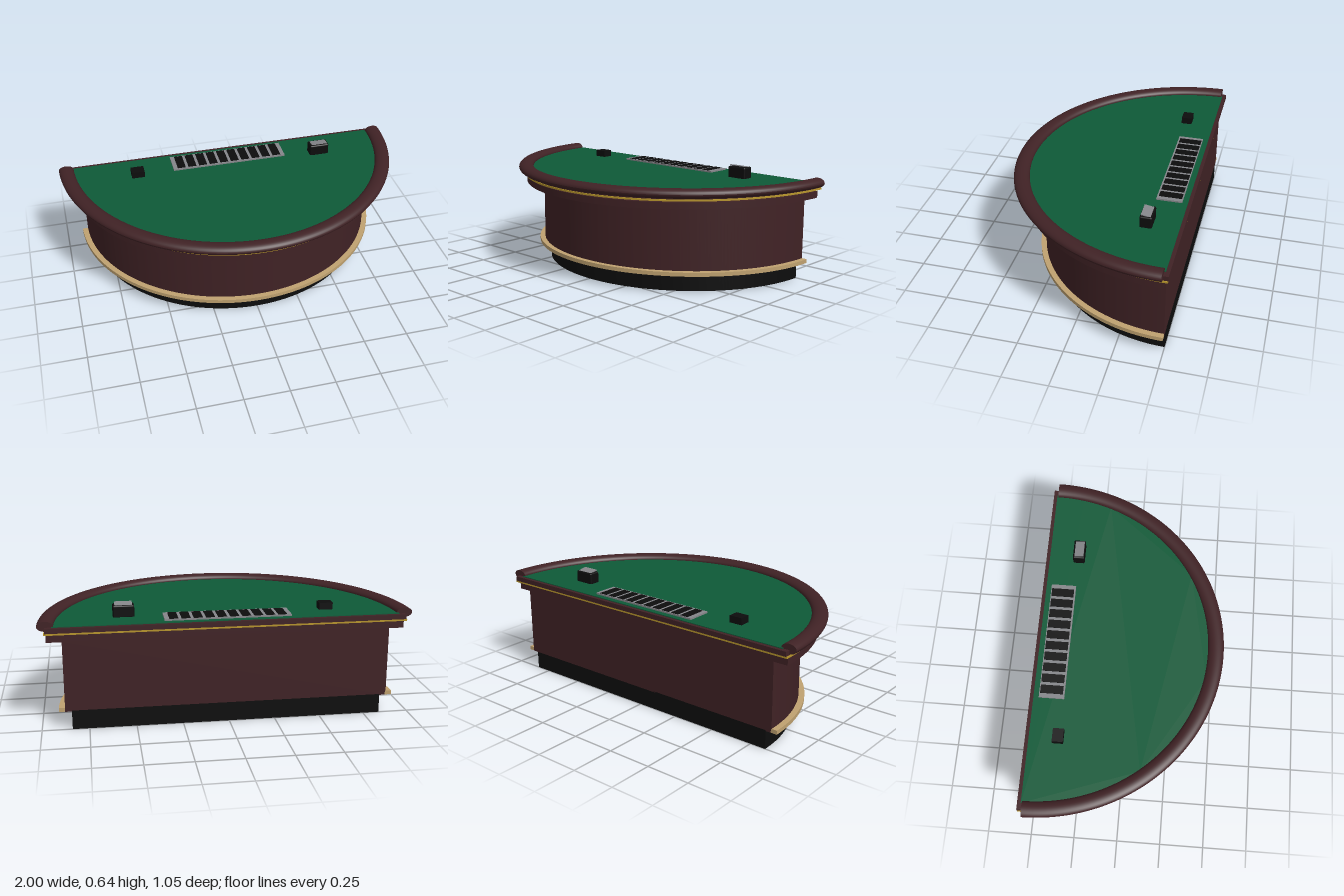
import * as THREE from 'three';
import { toCreasedNormals } from 'three/addons/utils/BufferGeometryUtils.js';
import { RoundedBoxGeometry } from 'three/addons/geometries/RoundedBoxGeometry.js';

const mat = (name, color) => new THREE.MeshStandardMaterial({ name, color });

export function createModel() {
  const wood = mat('dark wood', 0x402225);
  const felt = mat('green felt', 0x0e5a38);
  const black = mat('black', 0x0d0d0d);
  const tan = mat('tan trim', 0xc0a270);
  const gold = mat('gold trim', 0xb8962c);
  const grey = mat('grey metal', 0x85868a);

  const model = new THREE.Group();
  model.name = 'cardTable';

  const add = (name, geometry, material, x = 0, y = 0, z = 0) => {
    const mesh = new THREE.Mesh(geometry, material);
    mesh.name = name;
    mesh.position.set(x, y, z);
    model.add(mesh);
    return mesh;
  };

  // Half-round slab with its straight edge at z = back; a rim width makes it an open band
  const halfRound = (name, material, rx, front, back, y0, y1, rim = 0) => {
    const rz = front - back;
    const shape = new THREE.Shape();
    shape.absellipse(0, 0, rx, rz, Math.PI, Math.PI * 2, false);
    if (rim) shape.absellipse(0, 0, rx - rim, rz - rim, Math.PI * 2, Math.PI, true);
    shape.closePath();
    const geo = new THREE.ExtrudeGeometry(shape, { depth: y1 - y0, bevelEnabled: false, curveSegments: 72 });
    geo.rotateX(-Math.PI / 2);
    return add(name, toCreasedNormals(geo, 0.5), material, 0, y0, back);
  };

  // Pedestal
  halfRound('plinth', black, 0.84, 0.32, -0.5, 0, 0.105);
  halfRound('body', wood, 0.875, 0.357, -0.5, 0.1, 0.485);
  halfRound('footBand', tan, 0.907, 0.387, -0.5, 0.101, 0.123, 0.036);
  halfRound('upperLedge', wood, 0.955, 0.477, -0.5, 0.483, 0.52);

  // Table top
  halfRound('goldTrim', gold, 0.965, 0.49, -0.523, 0.527, 0.537);
  halfRound('topBoard', wood, 0.96, 0.485, -0.525, 0.537, 0.563);
  halfRound('feltSurface', felt, 0.925, 0.45, -0.505, 0.563, 0.567);

  // Padded arm rail: half ring with an oval section and closed ends
  const railRadius = 0.957, railW = 0.043, railH = 0.0265, railY = 0.5685, railBack = -0.497;
  const section = [];
  for (let i = 0; i <= 28; i++) {
    const a = (i / 28) * Math.PI * 2;
    section.push(new THREE.Vector2(railRadius + Math.cos(a) * railW, Math.sin(a) * railH));
  }
  const railGeo = new THREE.LatheGeometry(section, 96, -Math.PI / 2, Math.PI);
  railGeo.scale(1, 1, 1.022);
  add('armRail', railGeo, wood, 0, railY, railBack);
  for (const side of [-1, 1]) {
    const cap = new THREE.CircleGeometry(1, 28);
    cap.scale(railW, railH, 1);
    cap.rotateY(Math.PI);
    add(side > 0 ? 'leftRailEnd' : 'rightRailEnd', cap, wood, side * railRadius, railY, railBack);
  }

  // Chip tray with ten slots
  add('chipTray', new THREE.BoxGeometry(0.68, 0.012, 0.14), grey, 0, 0.57, -0.405);
  for (let i = 0; i < 10; i++) {
    add('traySlot', new THREE.BoxGeometry(0.048, 0.004, 0.126), black, (i - 4.5) * 0.0647, 0.576, -0.407);
  }

  // Discard holder on the right, card dispenser with a tilted lid on the left
  add('discardHolder', new THREE.BoxGeometry(0.075, 0.042, 0.06), black, -0.553, 0.584, -0.345);
  add('cardDispenser', new RoundedBoxGeometry(0.115, 0.068, 0.066, 3, 0.008), black, 0.548, 0.596, -0.334);
  const lid = add('dispenserLid', new THREE.BoxGeometry(0.094, 0.005, 0.052), grey, 0.548, 0.633, -0.332);
  lid.rotation.x = -0.17;

  return model;
}
